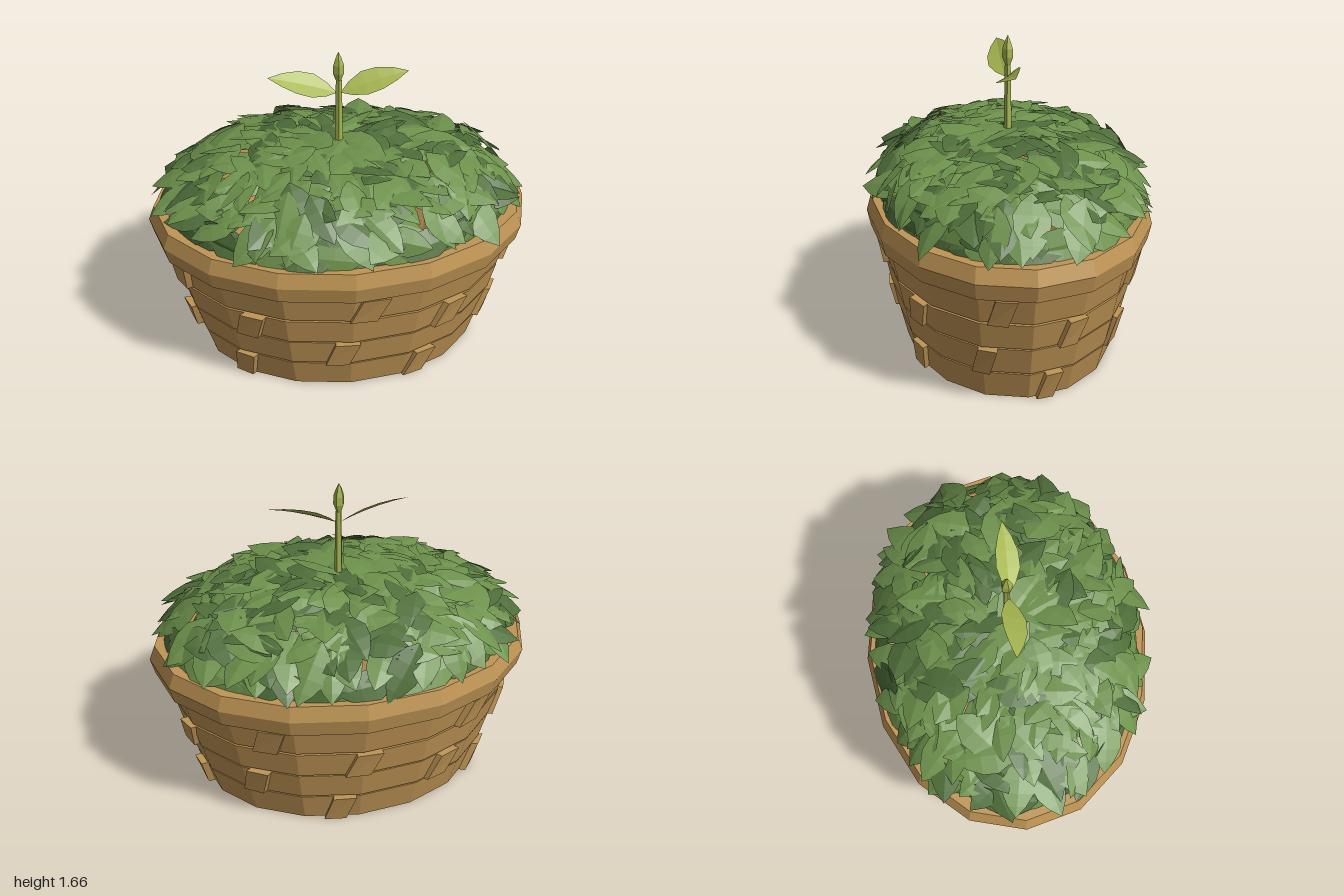
import * as THREE from 'three';
import { mergeGeometries } from 'three/addons/utils/BufferGeometryUtils.js';

const DEPTH = 0.745; // the basket is oval: z radius / x radius
const BANDS = [
  { y0: 0, y1: 0.16, r0: 0.74, r1: 0.79, turn: 28 },
  { y0: 0.17, y1: 0.325, r0: 0.795, r1: 0.84, turn: -3.5 },
  { y0: 0.335, y1: 0.485, r0: 0.845, r1: 0.885, turn: 36 },
  { y0: 0.495, y1: 0.65, r0: 0.885, r1: 0.93, turn: 5 },
];

function seeded(seed) {
  return () => {
    seed = (seed * 16807) % 2147483647;
    return seed / 2147483647;
  };
}

// Pointed leaf along +z, centred, folded on its midrib and drooping at both ends
function leafGeometry(length, width, fold, droop) {
  const rows = [[0, 0.06], [0.14, 0.58], [0.35, 1], [0.58, 0.94], [0.8, 0.56], [1, 0]];
  const pos = [], index = [];
  rows.forEach(([t, w], i) => {
    const y = -droop * (2 * t - 1) ** 2;
    const z = (t - 0.5) * length;
    const x = (w * width) / 2;
    pos.push(-x, y + fold * w, z, 0, y, z, x, y + fold * w, z);
    if (i === 0) return;
    const b = i * 3, a = b - 3;
    for (let k = 0; k < 2; k++) {
      index.push(a + k, b + k, a + k + 1, a + k + 1, b + k, b + k + 1);
    }
  });
  const g = new THREE.BufferGeometry();
  g.setAttribute('position', new THREE.Float32BufferAttribute(pos, 3));
  g.setIndex(index);
  g.computeVertexNormals();
  return g;
}

// Leaning woven block that follows the curve of one band
function weaveBlock(band, angle) {
  const g = new THREE.BoxGeometry(1, 1, 1);
  const p = g.attributes.position;
  for (let i = 0; i < p.count; i++) {
    const v = p.getY(i) + 0.5;
    const a = angle + p.getX(i) * 0.15 + (v - 0.5) * 0.065;
    const r = THREE.MathUtils.lerp(band.r0, band.r1, v) + (p.getZ(i) > 0 ? 0.025 : -0.04);
    const y = THREE.MathUtils.lerp(band.y0, band.y1, v);
    p.setXYZ(i, Math.sin(a) * r, y, Math.cos(a) * r * DEPTH);
  }
  g.computeVertexNormals();
  return g;
}

// Big leaves scattered over a low oval dome, plus a skirt lying along the rim;
// returns one geometry of light leaves and one of dark leaves
function foliageGeometries() {
  const rand = seeded(4271);
  const spread = (s) => (rand() * 2 - 1) * s;
  const A = 0.95, B = 0.715, H = 0.34, DOME = 250, SKIRT = 44;
  const light = [], dark = [];
  for (let i = 0; i < DOME + SKIRT; i++) {
    const skirt = i >= DOME;
    const r = skirt ? 0.985 : 0.95 * ((i + 0.5) / DOME) ** 0.44;
    const phi = skirt ? ((i - DOME) / SKIRT) * Math.PI * 2 : i * 2.39996 + spread(0.15);
    const inset = skirt ? 0.95 : 1;
    const x = A * r * inset * Math.cos(phi), z = B * r * inset * Math.sin(phi);
    const h = H * Math.sqrt(1 - r * r);
    const normal = new THREE.Vector3(x / (A * A), h / (H * H), z / (B * B)).normalize();
    const swing = skirt ? (i % 2 ? 1.4 : -1.4) + spread(0.25) : spread(r > 0.85 ? 0.8 : 1.3);
    const heading = Math.atan2(z, x) + swing;
    const dir = new THREE.Vector3(Math.cos(heading), 0, Math.sin(heading));
    dir.addScaledVector(normal, -dir.dot(normal)).normalize();
    const side = new THREE.Vector3().crossVectors(normal, dir);

    const size = 0.85 + rand() * 0.3;
    const leaf = leafGeometry(0.3 * size, 0.17 * size, -0.014, 0.016);
    leaf.rotateZ(spread(0.35));
    leaf.rotateX(skirt ? 0 : -0.07 + spread(0.26));
    leaf.applyMatrix4(new THREE.Matrix4().makeBasis(side, normal, dir));
    leaf.translate(x, 0.83 + h + spread(0.015), z);
    (rand() < 0.33 ? dark : light).push(leaf);
  }
  return [mergeGeometries(light), mergeGeometries(dark)];
}

export function createModel() {
  const model = new THREE.Group();
  model.name = 'plantedBasket';
  const paint = (name, color, side = THREE.FrontSide) =>
    new THREE.MeshStandardMaterial({ name, color, side, flatShading: true });
  const wicker = paint('wickerBrown', 0xc09555);
  const lightGreen = paint('lightLeafGreen', 0x6d914c, THREE.DoubleSide);
  const darkGreen = paint('darkLeafGreen', 0x506f3b, THREE.DoubleSide);
  const lime = paint('sproutLime', 0xa6b650, THREE.DoubleSide);

  const add = (name, geometry, material, parent = model) => {
    const mesh = new THREE.Mesh(geometry, material);
    mesh.name = name;
    parent.add(mesh);
  };
  const lathe = (profile, sides) =>
    new THREE.LatheGeometry(profile.map(([x, y]) => new THREE.Vector2(x, y)), sides);

  // Basket: four flaring bands with grooves between, a bevelled rim, hollow inside
  const profile = [[0, 0]];
  BANDS.forEach((b) => {
    profile.push([b.r0, b.y0], [b.r1, b.y1], [b.r1 - 0.03, b.y1], [b.r1 - 0.03, b.y1 + 0.01]);
  });
  profile.push([0.975, 0.66], [1, 0.75], [0.97, 0.83], [0.9, 0.83], [0.86, 0.6], [0.7, 0.06], [0, 0.06]);
  const basket = lathe(profile, 16);
  basket.scale(1, 1, DEPTH);
  add('basket', basket, wicker);

  // Woven blocks, five per band, staggered
  const weave = new THREE.Group();
  weave.name = 'weaveBlocks';
  model.add(weave);
  BANDS.forEach((band) => {
    for (let k = 0; k < 5; k++) {
      const angle = THREE.MathUtils.degToRad(band.turn + k * 72);
      add('weaveBlock', weaveBlock(band, angle), wicker, weave);
    }
  });

  // Mound of leaves
  const [lightLeaves, darkLeaves] = foliageGeometries();
  add('lightFoliage', lightLeaves, lightGreen);
  add('darkFoliage', darkLeaves, darkGreen);

  // Sprout: stem, bud and two seed leaves
  const sprout = new THREE.Group();
  sprout.name = 'sprout';
  model.add(sprout);
  const stem = new THREE.CylinderGeometry(0.016, 0.023, 0.42, 5);
  stem.translate(0.002, 1.3, 0);
  add('stem', stem, lime, sprout);
  add('bud', lathe([[0, 1.495], [0.014, 1.51], [0.029, 1.55], [0.028, 1.595], [0.015, 1.635], [0, 1.665]], 5), lime, sprout);

  for (const s of [1, -1]) {
    const leaf = leafGeometry(0.355, 0.14, 0.008, 0.012);
    leaf.translate(0, 0, 0.1775);
    leaf.rotateY((s * Math.PI) / 2);
    leaf.rotateX(0.55);
    leaf.rotateZ(s * 0.29);
    leaf.translate(s * 0.012, 1.455, 0.018);
    add(s > 0 ? 'leftSeedLeaf' : 'rightSeedLeaf', leaf, lime, sprout);
  }
  return model;
}
